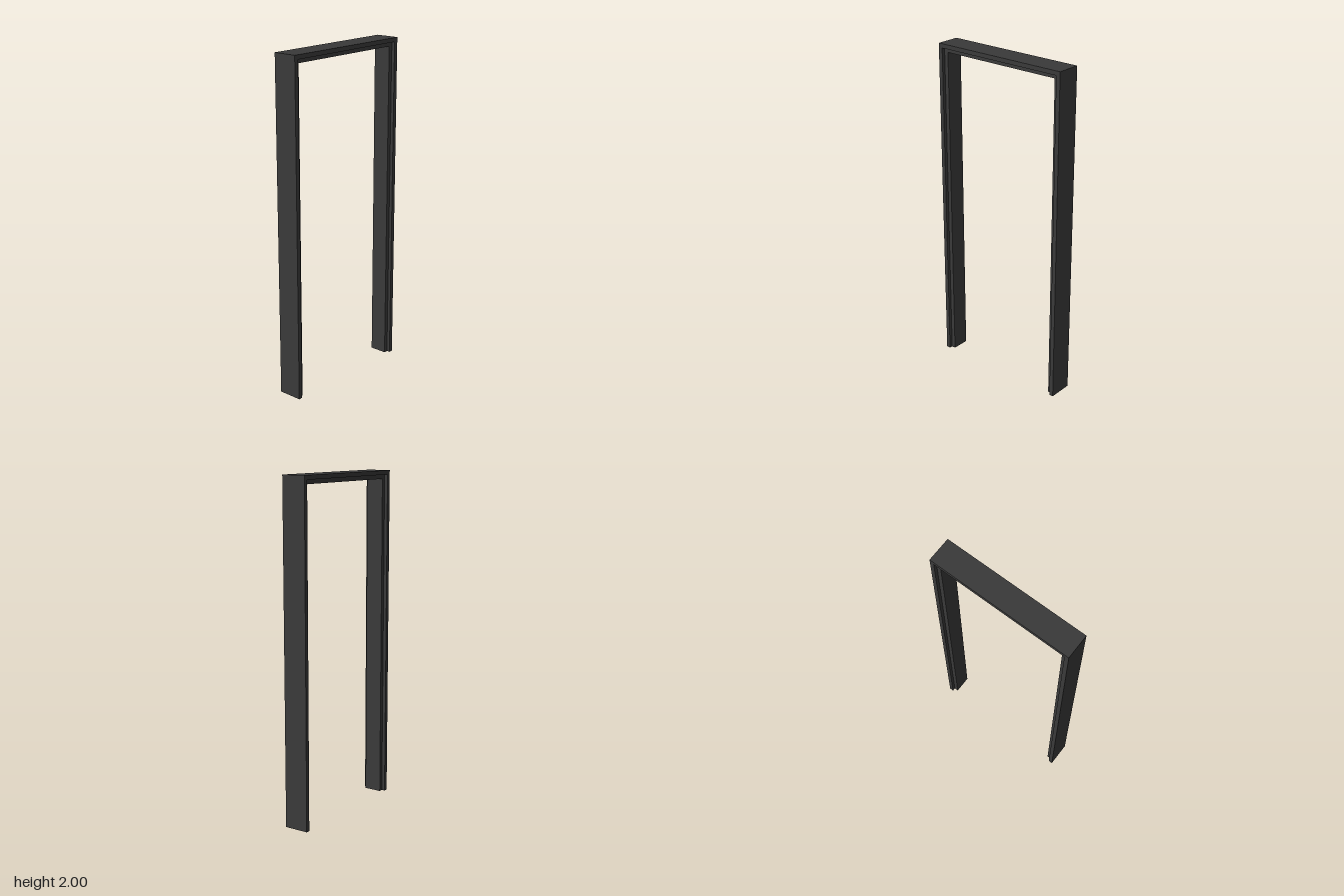
import * as THREE from 'three';

const HALF_WIDTH = 0.432, HEIGHT = 2, DEPTH = 0.146;
const STEP = 0.025;    // thickness of each layer of the frame
const REBATE = 0.02;   // setback of the stop from the front and back faces

// Upside-down U between two insets from the outer edge, extruded about z = 0
function archLayer(name, insetOuter, insetInner, depth, material) {
  const xo = HALF_WIDTH - insetOuter, yo = HEIGHT - insetOuter;
  const xi = HALF_WIDTH - insetInner, yi = HEIGHT - insetInner;
  const shape = new THREE.Shape([
    [-xo, 0], [-xi, 0], [-xi, yi], [xi, yi], [xi, 0], [xo, 0], [xo, yo], [-xo, yo],
  ].map(([x, y]) => new THREE.Vector2(x, y)));
  const geometry = new THREE.ExtrudeGeometry(shape, { depth, bevelEnabled: false });
  geometry.translate(0, 0, -depth / 2);
  const mesh = new THREE.Mesh(geometry, material);
  mesh.name = name;
  return mesh;
}

export function createModel() {
  const group = new THREE.Group();
  group.name = 'doorFrame';
  const material = new THREE.MeshStandardMaterial({ color: 0x3a3a3a });

  // Outer jambs and head, full depth
  group.add(archLayer('outerFrame', 0, STEP, DEPTH, material));
  // Inner stop, set back from both faces to leave a rebate
  group.add(archLayer('doorStop', STEP, 2 * STEP, DEPTH - 2 * REBATE, material));
  return group;
}
